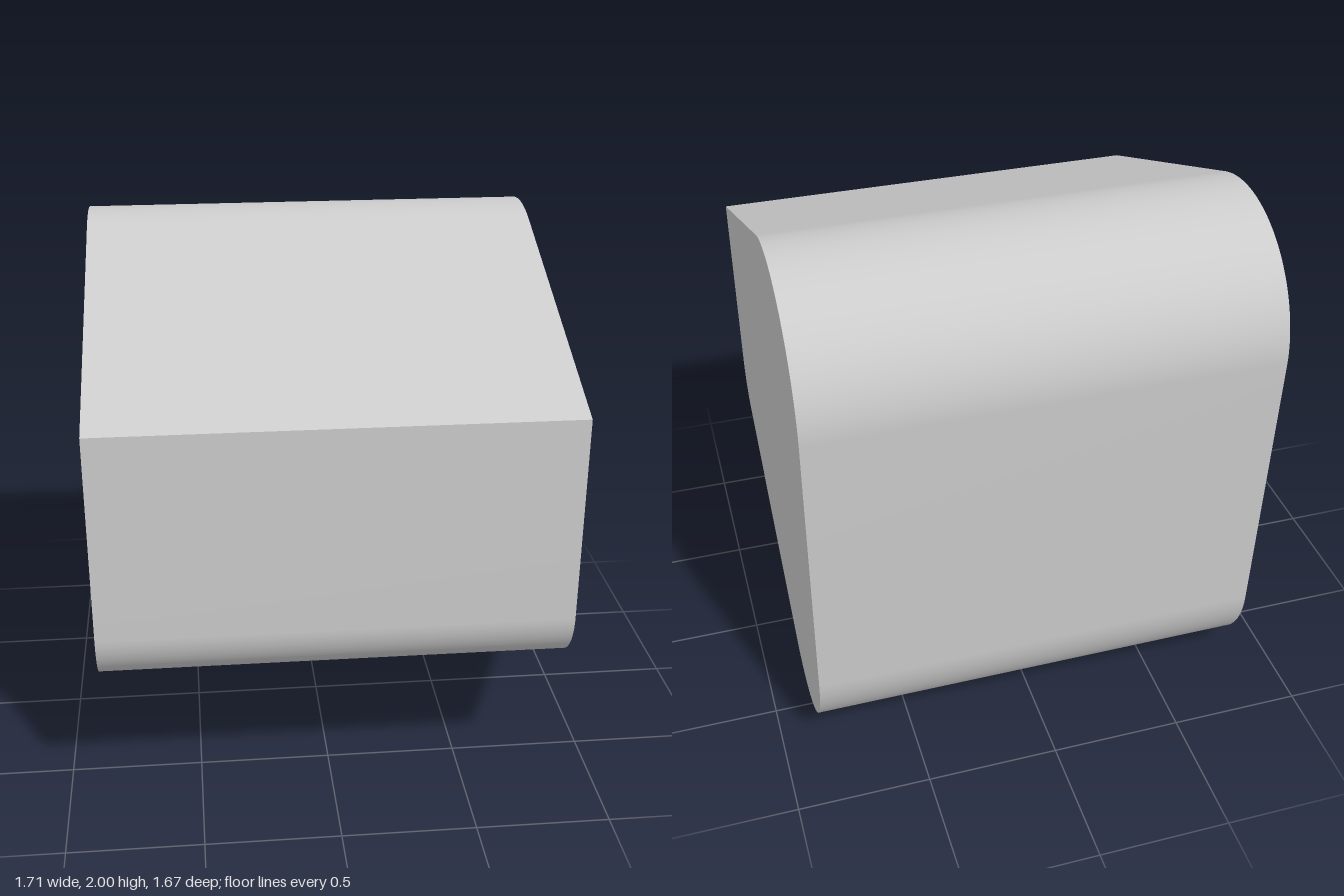
import * as THREE from 'three';
import { toCreasedNormals } from 'three/addons/utils/BufferGeometryUtils.js';

const WIDTH = 1.71;

// Rounded corners of the side profile, counter-clockwise: [z, y, radius]
const CORNERS = [
  [-0.38, 0.4, 0.4], // bottom back
  [0.615, 0.78, 0.225], // lower front
  [0.84, 1.545, 0], // sharp upper front
  [-0.38, 1.545, 0.455], // top back
];

// Angle of the outward normal of the line touching two corner circles
function tangentAngle([ax, ay, ar], [bx, by, br]) {
  const dx = bx - ax, dy = by - ay;
  return Math.atan2(dy, dx) - Math.acos((ar - br) / Math.hypot(dx, dy));
}

function profile() {
  const shape = new THREE.Shape();
  const n = CORNERS.length;
  CORNERS.forEach((c, i) => {
    const [x, y, r] = c;
    if (r === 0) {
      shape.lineTo(x, y);
      return;
    }
    const start = tangentAngle(CORNERS[(i + n - 1) % n], c);
    const end = tangentAngle(c, CORNERS[(i + 1) % n]);
    shape.absarc(x, y, r, start, end, false);
  });
  return shape;
}

export function createModel() {
  const group = new THREE.Group();

  // Solid block: the side profile swept across the width
  const block = new THREE.ExtrudeGeometry(profile(), {
    depth: WIDTH, bevelEnabled: false, curveSegments: 32,
  });
  block.translate(0, 0, -WIDTH / 2);
  block.rotateY(-Math.PI / 2);

  const body = new THREE.Mesh(
    toCreasedNormals(block, Math.PI / 6),
    new THREE.MeshStandardMaterial({ color: 0xcccccc }),
  );
  body.name = 'roundedWedgeBody';
  group.add(body);
  return group;
}
